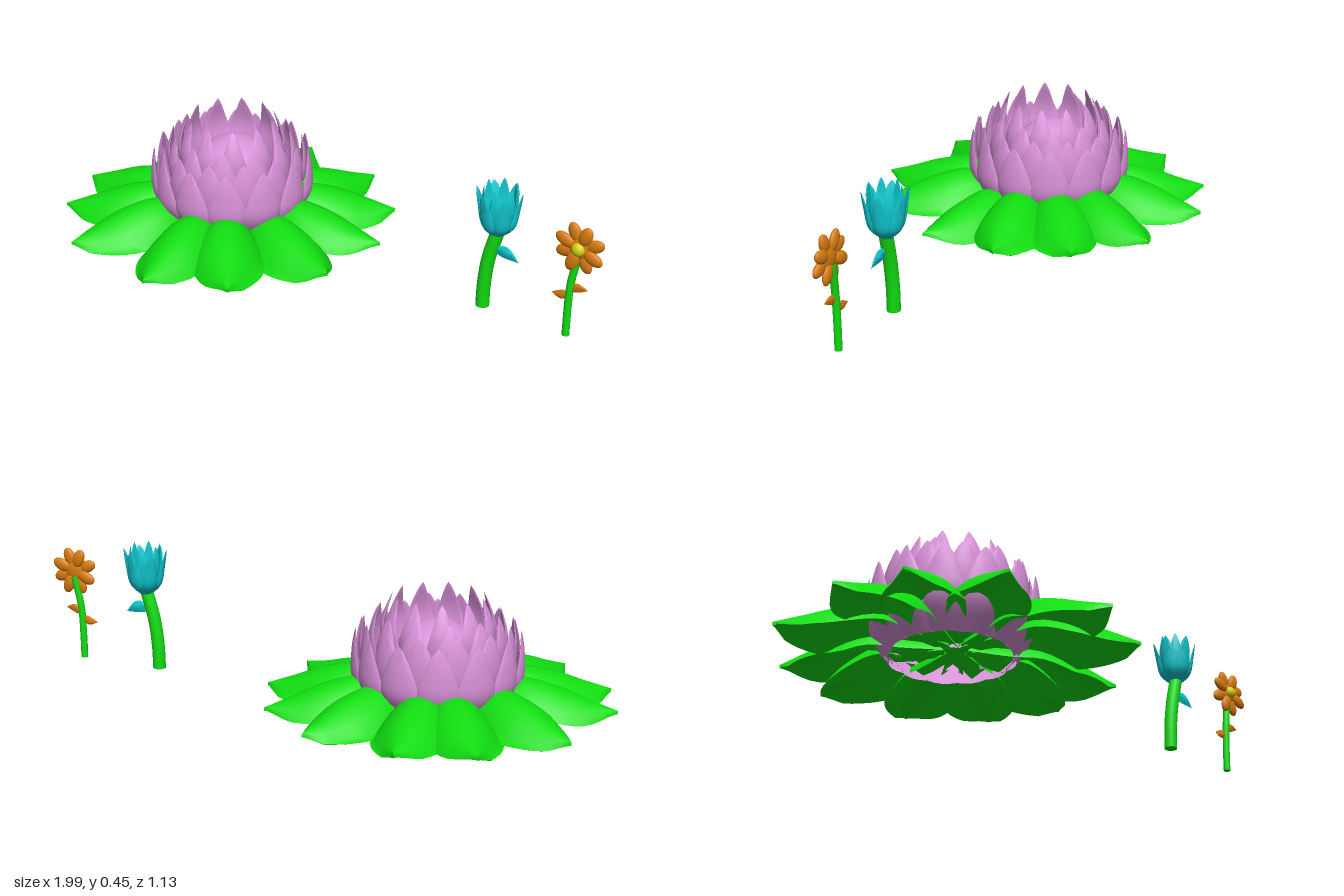
import * as THREE from 'three';
import { toCreasedNormals } from 'three/addons/utils/BufferGeometryUtils.js';

const paint = (color) => new THREE.MeshStandardMaterial({ color, side: THREE.DoubleSide });
const GREEN = paint(0x11dd11), PINK = paint(0xd992d9), TEAL = paint(0x10ccd4);
const ORANGE = paint(0xd97c10), YELLOW = paint(0xd8d010);

function add(parent, name, geometry, material, x = 0, y = 0, z = 0) {
  const m = new THREE.Mesh(geometry, material);
  m.name = name;
  m.position.set(x, y, z);
  parent.add(m);
  return m;
}

// Thin lens-section blade: point(t along, s across -1..1, d through -1..1) gives [x, y, z]
function blade(point, rows = 14, cols = 16) {
  const pos = [], idx = [];
  for (let i = 0; i <= rows; i++) {
    for (let j = 0; j < cols; j++) {
      const a = (j / cols) * Math.PI * 2;
      pos.push(...point(i / rows, Math.cos(a), Math.sin(a)));
      if (i === rows) continue;
      const k = (j + 1) % cols, p = i * cols, q = p + cols;
      idx.push(p + j, q + j, p + k, q + j, q + k, p + k);
    }
  }
  const g = new THREE.BufferGeometry();
  g.setAttribute('position', new THREE.Float32BufferAttribute(pos, 3));
  g.setIndex(idx);
  return toCreasedNormals(g, 0.8);
}

// Upright petal curled round the y axis; profile points are (radius, height)
function petal(profile, halfAngle, thick, power = 2.5) {
  const curve = new THREE.SplineCurve(profile.map((p) => new THREE.Vector2(...p)));
  return blade((t, s, d) => {
    const p = curve.getPoint(t);
    const a = s * halfAngle * (1 - t ** power);
    const r = p.x + d * thick * (1 - t ** 4) - 0.06 * p.x * s * s * (1 - t);
    return [r * Math.cos(a), p.y, -r * Math.sin(a)];
  });
}

function petalRing(parent, name, geometry, material, count, offset) {
  for (let i = 0; i < count; i++) {
    add(parent, name, geometry, material).rotation.y = ((i + offset) / count) * Math.PI * 2;
  }
}

// Wide leaf arching from the middle down to a slightly lifted tip
function groundLeaf(sag, roll) {
  const rib = new THREE.CatmullRomCurve3([
    [0.03, 0.07, 0.03], [0.15, 0.105, 0.07], [0.26, 0.138, 0.1],
    [0.38, 0.117, 0.12], [0.48, 0.08, 0.085], [0.57, 0.05, 0],
  ].map((p) => new THREE.Vector3(...p)));   // radius, height, half width
  return blade((t, s, d) => {
    const p = rib.getPoint(t), w = Math.max(p.z, 0);
    const y = p.y - 0.75 * w * s * s + roll * s * w - sag * Math.sin(Math.PI * t);
    return [p.x, Math.max(y, 0.026 - sag) + d * 0.006, w * s];
  }, 18, 20);
}

function waterFlower() {
  const g = new THREE.Group();
  g.name = 'waterFlower';

  const leaves = new THREE.Group();
  leaves.name = 'leaves';
  leaves.position.x = -0.435;
  g.add(leaves);
  [-97, -64, -36, -10, 17.5, 51.5, 80, 118, 148, 171, 206, 238].forEach((deg, i) => {
    const leaf = add(leaves, 'groundLeaf', groundLeaf(i === 4 ? 0.018 : 0, i % 2 ? 0.12 : -0.08), GREEN);
    leaf.rotation.y = -THREE.MathUtils.degToRad(deg);
  });

  const bloom = new THREE.Group();
  bloom.name = 'bloom';
  bloom.position.set(-0.435, 0, -0.02);
  g.add(bloom);
  // count, base, middle and tip radius, base and tip height
  [
    [13, 0.2, 0.27, 0.262, 0.035, 0.295],
    [13, 0.2, 0.247, 0.238, 0.08, 0.32],
    [12, 0.185, 0.217, 0.198, 0.1, 0.352],
    [11, 0.16, 0.178, 0.145, 0.11, 0.402],
  ].forEach(([n, r0, r1, r2, y0, y1], i) => {
    const h = y1 - y0;
    const shape = petal([[r0, y0], [r1 - 0.008, y0 + h * 0.33], [r1, y0 + h * 0.66], [r2, y1]], 3.9 / n, 0.007);
    petalRing(bloom, 'petal', shape, PINK, n, i * 0.5);
  });
  add(bloom, 'heart', new THREE.SphereGeometry(0.14, 32, 20, 0, Math.PI * 2, 0, Math.PI * 0.6), PINK, 0, 0.18, -0.01);
  return g;
}

function stem(parent, points, radius) {
  const path = new THREE.CatmullRomCurve3(points.map((p) => new THREE.Vector3(...p)));
  add(parent, 'stem', new THREE.TubeGeometry(path, 20, radius, 16), GREEN);
  const [x, y, z] = points[0];
  add(parent, 'stemFoot', new THREE.CircleGeometry(radius, 16).rotateX(Math.PI / 2), GREEN, x, y, z);
}

// Small pointed leaf standing in the x-y plane, growing along +x
function stemLeaf(length, halfWidth) {
  return blade((t, s, d) => {
    const w = Math.sin(Math.PI * t ** 0.8);
    return [length * t, halfWidth * w * s + 0.12 * length * Math.sin(Math.PI * t), -0.005 * w * d];
  }, 12, 12);
}

function cupFlower() {
  const g = new THREE.Group();
  g.name = 'cupFlower';
  stem(g, [[0.585, 0.02, -0.005], [0.588, 0.1, -0.005], [0.6, 0.19, -0.005], [0.628, 0.295, -0.008]], 0.022);
  const cup = new THREE.Group();
  cup.name = 'cup';
  cup.position.set(0.627, 0.28, -0.01);
  g.add(cup);
  const outer = petal([[0.015, 0], [0.05, 0.035], [0.064, 0.1], [0.074, 0.155]], 0.62, 0.004);
  const inner = petal([[0.012, 0.01], [0.04, 0.05], [0.052, 0.11], [0.05, 0.173]], 0.62, 0.004);
  petalRing(cup, 'outerPetal', outer, TEAL, 6, 0.25);
  petalRing(cup, 'innerPetal', inner, TEAL, 6, 0.75);
  add(cup, 'heart', new THREE.SphereGeometry(0.03, 20, 14), TEAL, 0, 0.06, 0).scale.y = 1.4;
  add(g, 'stemLeaf', stemLeaf(0.095, 0.021), TEAL, 0.615, 0.228, -0.005).rotation.z = -0.22;
  return g;
}

function daisy() {
  const g = new THREE.Group();
  g.name = 'daisy';
  stem(g, [[0.887, 0.02, 0], [0.888, 0.1, 0], [0.893, 0.2, 0], [0.913, 0.31, -0.006]], 0.012);
  const head = new THREE.Group();
  head.name = 'head';
  head.position.set(0.915, 0.327, 0);
  g.add(head);
  const shape = new THREE.SphereGeometry(1, 20, 14);
  for (let i = 0; i < 8; i++) {
    const a = ((i + 0.5) / 8) * Math.PI * 2;
    const p = add(head, 'petal', shape, ORANGE, 0.052 * Math.cos(a), 0.05 * Math.sin(a), i % 2 ? 0.004 : -0.004);
    p.scale.set(0.034, 0.021, 0.012);
    p.rotation.z = a;
  }
  add(head, 'petalBase', shape, ORANGE).scale.set(0.035, 0.035, 0.012);
  add(head, 'eye', shape, YELLOW, 0, 0, 0.009).scale.set(0.022, 0.022, 0.018);
  add(g, 'rightLeaf', stemLeaf(0.062, 0.015), ORANGE, 0.889, 0.168, 0).rotation.z = Math.PI + 0.25;
  add(g, 'leftLeaf', stemLeaf(0.065, 0.015), ORANGE, 0.89, 0.178, 0).rotation.z = 0.25;
  return g;
}

export function createModel() {
  const model = new THREE.Group();
  model.name = 'flowers';
  model.add(waterFlower(), cupFlower(), daisy());
  return model;
}
